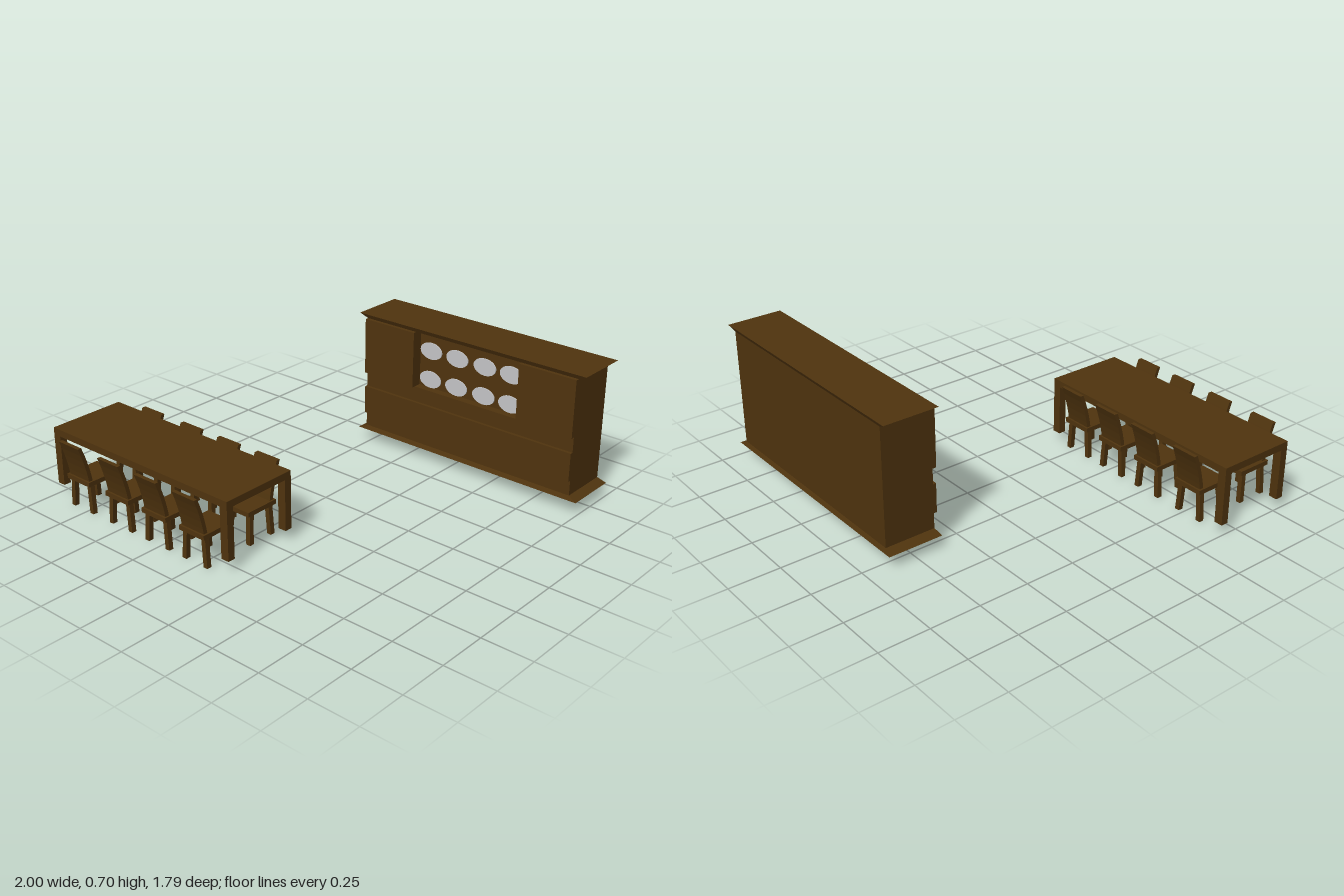
import * as THREE from 'three';

const wood = new THREE.MeshStandardMaterial({ color: 0x50340e });
wood.name = 'darkWood';
const china = new THREE.MeshStandardMaterial({ color: 0xc6c6c8 });
china.name = 'paleChina';

function add(parent, name, geometry, material = wood) {
  const mesh = new THREE.Mesh(geometry, material);
  mesh.name = name;
  parent.add(mesh);
  return mesh;
}

// Box given by its limits on each axis
function block(parent, name, [x0, x1], [y0, y1], [z0, z1]) {
  const mesh = add(parent, name, new THREE.BoxGeometry(x1 - x0, y1 - y0, z1 - z0));
  mesh.position.set((x0 + x1) / 2, (y0 + y1) / 2, (z0 + z1) / 2);
  return mesh;
}

// Four-sided solid between a lower and an upper rectangle { x, y, z }
function taper(parent, name, low, high) {
  const geometry = new THREE.BoxGeometry(1, 1, 1);
  const p = geometry.attributes.position;
  for (let i = 0; i < p.count; i++) {
    const r = p.getY(i) < 0 ? low : high;
    p.setXYZ(i, r.x[p.getX(i) < 0 ? 0 : 1], r.y, r.z[p.getZ(i) < 0 ? 0 : 1]);
  }
  geometry.computeVertexNormals();
  return add(parent, name, geometry);
}

function createTable() {
  const table = new THREE.Group();
  table.name = 'table';
  const x = [-1, 0.147], z = [0.404, 0.803], w = 0.043, d = 0.038;
  block(table, 'tableTop', x, [0.31, 0.345], z);
  for (const lx of [x[0], x[1] - w])
    for (const lz of [z[0], z[1] - d])
      block(table, 'tableLeg', [lx, lx + w], [0.055, 0.31], [lz, lz + d]);
  return table;
}

// Chair with its backrest towards +z
function createChair() {
  const chair = new THREE.Group();
  chair.name = 'chair';
  block(chair, 'seat', [-0.077, 0.077], [0.145, 0.168], [-0.089, 0.089]);

  // Splayed legs
  const around = (c, h) => [c - h, c + h];
  for (const s of [-1, 1])
    for (const [name, zLow, zHigh] of [['frontLeg', -0.072, -0.059], ['rearLeg', 0.064, 0.062]])
      taper(chair, name,
        { x: around(s * 0.066, 0.012), y: 0, z: around(zLow, 0.012) },
        { x: around(s * 0.056, 0.012), y: 0.147, z: around(zHigh, 0.012) });

  // Curved backrest panel, extruded across the width
  const side = new THREE.Shape();
  side.moveTo(0.056, 0.155);
  side.quadraticCurveTo(0.071, 0.255, 0.109, 0.35);
  side.lineTo(0.129, 0.35);
  side.quadraticCurveTo(0.091, 0.255, 0.077, 0.155);
  side.closePath();
  const panel = new THREE.ExtrudeGeometry(side, { depth: 0.136, bevelEnabled: false, curveSegments: 5 });
  panel.translate(0, 0, -0.068).rotateY(-Math.PI / 2);
  add(chair, 'backrest', panel);
  return chair;
}

function createSideboard() {
  const board = new THREE.Group();
  board.name = 'sideboard';
  const x = [-0.267, 0.951], wideX = [-0.31, 0.995], wideZ = [-0.896, -0.619];
  const back = -0.885, niche = -0.67, front = -0.63, bodyZ = [back, front];

  // Flared plinth and cornice
  taper(board, 'plinth', { x: wideX, y: 0.067, z: wideZ }, { x, y: 0.088, z: bodyZ });
  taper(board, 'cornice', { x, y: 0.674, z: bodyZ }, { x: wideX, y: 0.696, z: wideZ });

  // Carcass with an open niche between the doors
  block(board, 'backCarcass', x, [0.088, 0.674], [back, niche]);
  block(board, 'lowerDrawer', x, [0.088, 0.164], [niche, front]);
  block(board, 'middleDrawer', x, [0.164, 0.309], [niche, -0.614]);
  block(board, 'upperDrawer', x, [0.309, 0.386], [niche, front]);
  block(board, 'rightDoor', [x[0], 0.037], [0.386, 0.674], [niche, -0.611]);
  block(board, 'leftDoor', [0.646, x[1]], [0.386, 0.674], [niche, -0.611]);

  // Two rows of oval plates on the niche wall
  const plate = new THREE.CylinderGeometry(1, 1, 0.006, 32);
  plate.rotateX(Math.PI / 2).scale(0.064, 0.043, 1);
  for (const px of [0.105, 0.261, 0.422, 0.573])
    for (const py of [0.43, 0.58])
      add(board, 'plate', plate, china).position.set(px, py, niche + 0.003);
  return board;
}

export function createModel() {
  const model = new THREE.Group();
  model.name = 'diningRoomSet';
  model.add(createTable(), createSideboard());

  // Four chairs on each long side of the table, facing it
  for (const x of [-0.782, -0.512, -0.266, -0.025]) {
    const near = createChair();
    near.position.set(x, 0, 0.764);
    const far = createChair();
    far.position.set(x, 0, 0.491);
    far.rotation.y = Math.PI;
    model.add(near, far);
  }
  return model;
}
